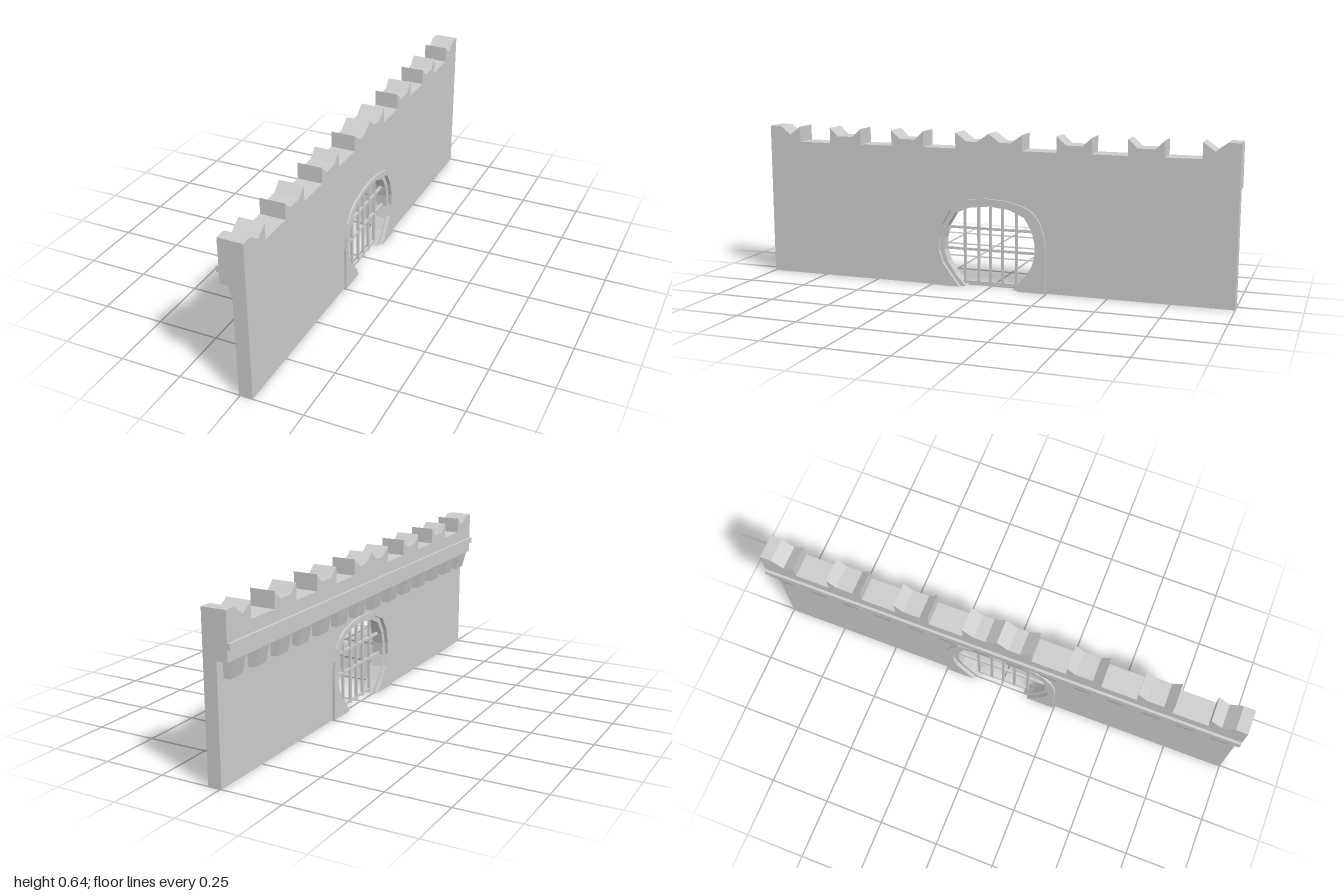
import * as THREE from 'three';

const material = new THREE.MeshStandardMaterial({ color: 0xcccccc, side: THREE.DoubleSide });

// Half outlines (z, y) from the ground up to the crown of the arch
const OUTER = [[0.245, 0], [0.245, 0.1], [0.245, 0.18], [0.238, 0.24], [0.22, 0.29], [0.19, 0.33], [0.15, 0.352], [0.08, 0.37], [0, 0.376]];
const OPENING = [[0.125, 0], [0.165, 0.05], [0.2, 0.1], [0.216, 0.15], [0.214, 0.2], [0.2, 0.26], [0.165, 0.32], [0.09, 0.352], [0, 0.36]];
const INNER = [[0.103, 0], [0.147, 0.05], [0.181, 0.1], [0.197, 0.15], [0.195, 0.2], [0.183, 0.25], [0.15, 0.305], [0.085, 0.333], [0, 0.342]];

// Mirrors a half outline into a full arch, running from +z over the top to -z
function arch(half) {
  const pts = half.map(([z, y]) => new THREE.Vector2(z, y));
  const mirrored = half.slice(0, -1).reverse().map(([z, y]) => new THREE.Vector2(-z, y));
  return pts.concat(mirrored);
}

// Extrudes a (z, y) outline between two x positions
function slab(name, points, x0, x1) {
  const geometry = new THREE.ExtrudeGeometry(new THREE.Shape(points), { depth: x1 - x0, bevelEnabled: false });
  geometry.rotateY(-Math.PI / 2).translate(x1, 0, 0);
  const mesh = new THREE.Mesh(geometry, material);
  mesh.name = name;
  return mesh;
}

function box(name, x0, x1, y0, y1, z0, z1) {
  const geometry = new THREE.BoxGeometry(x1 - x0, y1 - y0, z1 - z0);
  geometry.translate((x0 + x1) / 2, (y0 + y1) / 2, (z0 + z1) / 2);
  const mesh = new THREE.Mesh(geometry, material);
  mesh.name = name;
  return mesh;
}

// Ring between two arches, open at the ground
const ring = (name, outside, inside, x0, x1) =>
  slab(name, arch(outside).concat(arch(inside).reverse()), x0, x1);

// Parapet outline: swallow-tailed merlons alternating with gaps
function parapetPoints() {
  const top = 0.64, notch = 0.605, gap = 0.575, unit = 1 / 7;
  const half = [[0, top], [0.048, notch], [0.095, notch], [unit, top], [unit, gap]];
  for (const k of [2, 4]) {
    const z = k * unit;
    half.push([z, gap], [z, top], [z + 0.037, notch], [z + 0.106, notch], [z + unit, top], [z + unit, gap]);
  }
  half.push([6 * unit, gap], [6 * unit, top], [0.905, notch], [0.952, top], [1, top]);
  const right = half.map(([z, y]) => new THREE.Vector2(z, y)).reverse();
  const left = half.slice(1).map(([z, y]) => new THREE.Vector2(-z, y));
  return [new THREE.Vector2(1, 0.46), ...right, ...left, new THREE.Vector2(-1, 0.46)];
}

export function createModel() {
  const model = new THREE.Group();
  model.name = 'castleWall';

  // Wall with the gateway cut out, and the overhanging parapet above
  const V = (z, y) => new THREE.Vector2(z, y);
  const wall = [V(1, 0), V(1, 0.46), V(-1, 0.46), V(-1, 0), ...arch(OPENING).reverse()];
  model.add(slab('wall', wall, -0.005, 0.05));
  model.add(slab('parapet', parapetPoints(), -0.05, 0.05));
  model.add(box('stringCourse', -0.061, -0.05, 0.503, 0.527, -1, 1));

  // Tapered corbels carrying the overhang
  const corbels = new THREE.Group();
  corbels.name = 'corbels';
  const corbelShape = new THREE.Shape([V(-0.005, 0.39), V(-0.005, 0.46), V(-0.05, 0.46), V(-0.031, 0.39)]);
  const corbelGeometry = new THREE.ExtrudeGeometry(corbelShape, { depth: 1 / 14, bevelEnabled: false });
  corbelGeometry.translate(0, 0, -1 / 28);
  for (let i = 0; i < 14; i++) {
    const corbel = new THREE.Mesh(corbelGeometry, material);
    corbel.name = 'corbel';
    corbel.position.z = -1 + (i + 0.5) / 7;
    corbels.add(corbel);
  }
  model.add(corbels);

  // Gate surround with a recessed inner step
  model.add(ring('gateFrame', OUTER, OPENING, -0.016, 0.06));
  model.add(ring('gateInnerStep', OPENING, INNER, 0, 0.044));

  // Portcullis bars
  const portcullis = new THREE.Group();
  portcullis.name = 'portcullis';
  const r = 0.005, x = 0.022;
  for (const [z, y0, y1] of [[0, 0.005, 0.35], [0.052, 0.005, 0.345], [0.112, 0.005, 0.33]]) {
    for (const s of z ? [1, -1] : [1]) {
      portcullis.add(box('uprightBar', x - r, x + r, y0, y1, s * z - r, s * z + r));
    }
  }
  for (const [y, halfWidth] of [[0.016, 0.125], [0.155, 0.205], [0.245, 0.195]]) {
    portcullis.add(box('crossBar', x - r, x + r, y - r, y + r, -halfWidth, halfWidth));
  }
  model.add(portcullis);

  return model;
}
